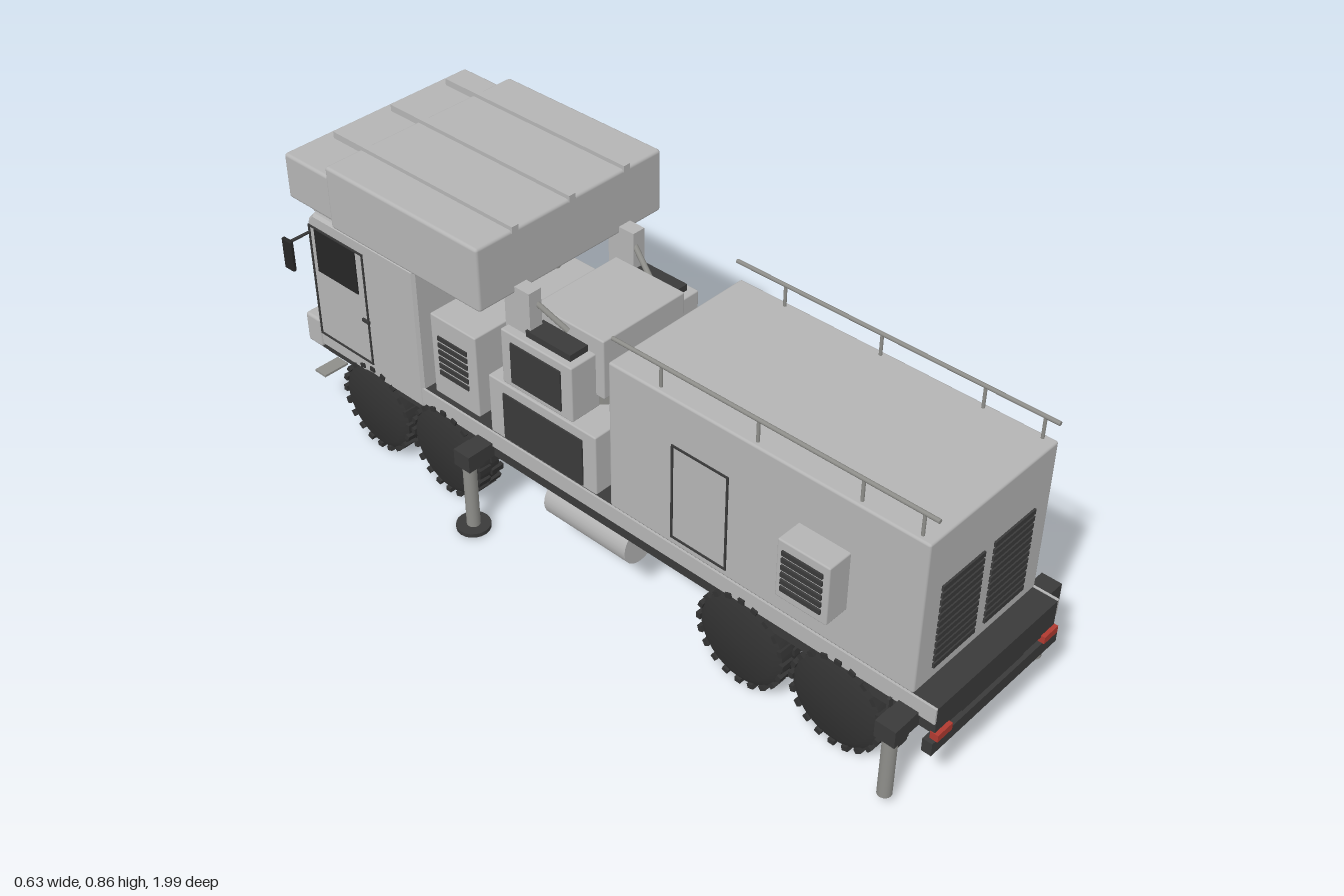
import * as THREE from 'three';
import { toCreasedNormals } from 'three/addons/utils/BufferGeometryUtils.js';
import { RoundedBoxGeometry } from 'three/addons/geometries/RoundedBoxGeometry.js';

export function createModel() {
  const root = new THREE.Group();
  root.name = 'radarTruck';
  const mat = (name, color) => {
    const m = new THREE.MeshStandardMaterial({ color });
    m.name = name;
    return m;
  };
  const body = mat('bodyGrey', 0xb4b4b4), dark = mat('frameDark', 0x3a3a3a), tyre = mat('tyreBlack', 0x323232);
  const steel = mat('steelGrey', 0x8e8e8a), tan = mat('tan', 0xb5a680), red = mat('lampRed', 0xb03a30);
  const glass = mat('glassBlack', 0x262626);

  const add = (name, geo, m, parent = root) => {
    const mesh = new THREE.Mesh(geo, m);
    mesh.name = name;
    parent.add(mesh);
    return mesh;
  };
  // Box from opposite corners; r gives softened edges
  const box = (name, m, x0, x1, y0, y1, z0, z1, r = 0) => {
    const s = [Math.abs(x1 - x0), Math.abs(y1 - y0), Math.abs(z1 - z0)];
    const g = r ? new RoundedBoxGeometry(...s, 2, r) : new THREE.BoxGeometry(...s);
    const mesh = add(name, g, m);
    mesh.position.set((x0 + x1) / 2, (y0 + y1) / 2, (z0 + z1) / 2);
    return mesh;
  };
  // Round bar between two points
  const rod = (name, m, a, b, r, sides = 8) => {
    const p = new THREE.Vector3(...a), q = new THREE.Vector3(...b);
    const mesh = add(name, new THREE.CylinderGeometry(r, r, p.distanceTo(q), sides), m);
    mesh.position.copy(p).lerp(q, 0.5);
    mesh.quaternion.setFromUnitVectors(new THREE.Vector3(0, 1, 0), q.sub(p).normalize());
    return mesh;
  };
  // Horizontal slats on a side wall
  const sideSlats = (name, s, x, y0, y1, z0, z1, n) => {
    const p = (y1 - y0) / n;
    for (let i = 0; i < n; i++) box(name, dark, s * x, s * (x + 0.006), y0 + i * p, y0 + (i + 0.6) * p, z0, z1);
  };
  // Thin outline of a door on a side wall
  const doorFrame = (name, s, x, y0, y1, z0, z1) => {
    const t = 0.005, a = s * (x - 0.002), b = s * (x + 0.003);
    box(name, dark, a, b, y0, y1, z0, z0 + t);
    box(name, dark, a, b, y0, y1, z1 - t, z1);
    box(name, dark, a, b, y0, y0 + t, z0, z1);
    box(name, dark, a, b, y1 - t, y1, z0, z1);
  };

  // Chassis and deck
  box('chassisFrame', dark, -0.13, 0.13, 0.19, 0.25, -0.92, 0.95);
  box('deck', dark, -0.213, 0.213, 0.205, 0.278, -0.92, 0.985);
  for (const s of [-1, 1]) box('deckSkirt', body, s * 0.212, s * 0.218, 0.237, 0.28, -0.56, 0.985);
  box('rearBumper', dark, -0.225, 0.225, 0.155, 0.19, 0.965, 0.99);
  box('rearCrossmember', dark, -0.11, 0.11, 0.185, 0.25, 0.93, 0.98);

  // Wheels: every rim faces the same way
  const prof = (pts) => pts.map(([r, y]) => new THREE.Vector2(r, y));
  const tyreGeo = toCreasedNormals(new THREE.LatheGeometry(prof([[0, -0.04], [0.098, -0.04], [0.117, -0.03], [0.119, 0],
    [0.117, 0.03], [0.1, 0.04], [0.072, 0.04], [0.066, 0.028], [0, 0.028]]), 32), 0.6);
  const rimGeo = toCreasedNormals(new THREE.LatheGeometry(prof([[0.069, 0.028], [0.069, 0.043], [0.06, 0.043],
    [0.053, 0.034], [0.032, 0.038], [0.028, 0.053], [0, 0.053]]), 24), 0.5);
  const lugGeo = new THREE.BoxGeometry(0.012, 0.037, 0.016);
  const boltGeo = new THREE.CylinderGeometry(0.0045, 0.0045, 0.016, 6);
  for (const z of [-0.735, -0.475, 0.475, 0.74]) {
    rod('axle', dark, [-0.18, 0.13, z], [0.18, 0.13, z], 0.016, 12);
    for (const x of [-0.185, 0.185]) {
      const wheel = new THREE.Group();
      wheel.name = 'wheel';
      wheel.position.set(x, 0.126, z);
      wheel.rotation.z = -Math.PI / 2;
      root.add(wheel);
      add('tyre', tyreGeo, tyre, wheel);
      add('rim', rimGeo, steel, wheel);
      for (let i = 0; i < 40; i++) {
        const a = (i / 40) * Math.PI * 2;
        const lug = add('treadLug', lugGeo, tyre, wheel);
        lug.position.set(Math.cos(a) * 0.119, i % 2 ? 0.02 : -0.02, Math.sin(a) * 0.119);
        lug.rotation.y = -a;
      }
      for (let i = 0; i < 10; i++) {
        const a = (i / 10) * Math.PI * 2;
        add('wheelBolt', boltGeo, steel, wheel).position.set(Math.cos(a) * 0.043, 0.041, Math.sin(a) * 0.043);
      }
    }
  }

  // Equipment shelter with rear louvres
  box('shelter', body, -0.215, 0.215, 0.28, 0.68, 0.08, 0.925, 0.006);
  for (const s of [-1, 1]) {
    for (let i = 0; i < 12; i++) {
      const y = 0.314 + i * 0.0192;
      box('rearLouvre', dark, s * 0.017, s * 0.158, y, y + 0.013, 0.921, 0.93);
    }
    box('sideVent', body, s * 0.21, s * 0.28, 0.395, 0.55, 0.61, 0.745, 0.004);
    sideSlats('sideVentSlat', s, 0.279, 0.42, 0.535, 0.625, 0.73, 6);
    doorFrame('shelterDoor', s, 0.215, 0.3, 0.56, 0.265, 0.425);
    rod('roofRail', steel, [s * 0.2, 0.735, 0.08], [s * 0.2, 0.735, 0.93], 0.005);
    for (const z of [0.22, 0.485, 0.75, 0.895]) rod('railPost', steel, [s * 0.2, 0.675, z], [s * 0.2, 0.735, z], 0.004);

    // Tail lamps, mudflaps and stabiliser legs
    box('tailLamp', red, s * 0.165, s * 0.215, 0.191, 0.21, 0.975, 0.995);
    box('mudflap', dark, s * 0.145, s * 0.228, 0.055, 0.24, 0.873, 0.879);
    for (const z of [0.92, -0.33]) {
      box('stabiliserBeam', dark, s * 0.15, s * 0.275, 0.205, 0.245, z - 0.025, z + 0.025);
      box('stabiliserHead', dark, s * 0.247, s * 0.295, 0.2, 0.246, z - 0.026, z + 0.026);
      rod('stabiliserLeg', steel, [s * 0.272, z > 0 ? 0.03 : 0.01, z], [s * 0.272, 0.205, z], 0.017, 16);
    }
    rod('stabiliserFoot', dark, [s * 0.272, 0.005, -0.33], [s * 0.272, 0.016, -0.33], 0.043, 20);
  }

  // Access ladder
  for (const z of [0.73, 0.81]) rod('ladderRail', dark, [0.225, 0.27, z], [0.312, 0.012, z], 0.004);
  for (let i = 0; i < 5; i++) {
    const t = i / 4, x = 0.225 + 0.087 * t, y = 0.27 - 0.258 * t;
    rod('ladderRung', dark, [x, y, 0.73], [x, y, 0.81], 0.004);
  }

  // Under-deck storage and tank
  box('storageBox', tan, 0.13, 0.215, 0.122, 0.218, -0.12, 0.115, 0.004);
  rod('fuelTank', body, [-0.17, 0.165, -0.13], [-0.17, 0.165, 0.13], 0.052, 24);

  // Generator block, side pods and turret
  box('generator', body, -0.213, 0.213, 0.28, 0.445, -0.31, 0.035, 0.004);
  rod('turntable', steel, [0, 0.44, -0.15], [0, 0.485, -0.15], 0.16, 32);
  box('turretBody', body, -0.132, 0.132, 0.48, 0.64, -0.23, -0.015, 0.004);
  for (const s of [-1, 1]) {
    box('generatorGrille', dark, s * 0.21, s * 0.217, 0.288, 0.418, -0.26, -0.005);
    box('turretPod', body, s * 0.12, s * 0.208, 0.445, 0.595, -0.265, -0.04, 0.004);
    box('podGrille', dark, s * 0.205, s * 0.212, 0.462, 0.572, -0.232, -0.073);
    box('podCap', dark, s * 0.135, s * 0.19, 0.595, 0.612, -0.2, -0.06);
    box('antennaBracket', body, s * 0.148, s * 0.185, 0.59, 0.71, -0.27, -0.19);
    rod('antennaStrut', steel, [s * 0.135, 0.62, -0.12], [s * 0.166, 0.69, -0.22], 0.007);
  }

  // Power unit with exhaust
  box('powerUnit', body, -0.2, 0.2, 0.28, 0.51, -0.52, -0.365, 0.004);
  for (const s of [-1, 1]) sideSlats('powerUnitSlat', s, 0.198, 0.345, 0.465, -0.495, -0.395, 6);
  rod('exhaust', steel, [0.14, 0.5, -0.44], [0.14, 0.635, -0.44], 0.009, 12);

  // Folded antenna
  box('antennaPanel', body, -0.29, 0.29, 0.69, 0.855, -0.742, -0.236, 0.008);
  box('antennaNose', body, -0.285, 0.285, 0.705, 0.825, -0.9, -0.735, 0.008);
  box('antennaUnderside', dark, -0.2, 0.2, 0.682, 0.692, -0.68, -0.26);
  for (const x of [-0.175, 0, 0.175]) box('antennaRib', body, x - 0.01, x + 0.01, 0.848, 0.865, -0.835, -0.234);
  rod('antennaSensor', dark, [0.16, 0.765, -0.895], [0.16, 0.765, -0.916], 0.013, 12);

  // Cab, extruded across its width from the side profile
  const side = new THREE.Shape([[0.553, 0.228], [0.93, 0.228], [0.934, 0.45], [0.928, 0.595], [0.91, 0.615], [0.553, 0.615]]
    .map(([a, b]) => new THREE.Vector2(a, b)));
  const cab = add('cab', new THREE.ExtrudeGeometry(side, {
    depth: 0.424, bevelEnabled: true, bevelSize: 0.007, bevelThickness: 0.008, bevelSegments: 1,
  }), body);
  cab.rotation.y = Math.PI / 2;
  cab.position.x = -0.212;
  box('cabRoof', body, -0.205, 0.205, 0.618, 0.631, -0.925, -0.55, 0.004);
  box('cabFloor', dark, -0.205, 0.205, 0.195, 0.226, -0.935, -0.56);
  box('frontBumper', body, -0.222, 0.222, 0.212, 0.298, -0.99, -0.935, 0.008);
  box('bumperUnderside', dark, -0.2, 0.2, 0.19, 0.214, -0.97, -0.9);
  box('frontGrille', dark, -0.085, 0.085, 0.24, 0.27, -0.995, -0.988);
  for (let i = 0; i < 8; i++) box('grilleBar', steel, -0.076 + i * 0.02, -0.07 + i * 0.02, 0.242, 0.268, -0.998, -0.994);
  rod('frontHandle', dark, [-0.06, 0.385, -0.955], [0.06, 0.385, -0.955], 0.004);
  for (const s of [-1, 1]) {
    box('windscreen', glass, s * 0.012, s * 0.198, 0.455, 0.578, -0.944, -0.936);
    rod('wiper', dark, [s * 0.05, 0.575, -0.948], [s * 0.14, 0.53, -0.948], 0.003);
    rod('handleMount', dark, [s * 0.06, 0.385, -0.935], [s * 0.06, 0.385, -0.96], 0.009);
    box('headlamp', dark, s * 0.135, s * 0.185, 0.242, 0.268, -0.994, -0.988);
    box('sideWindow', glass, s * 0.216, s * 0.223, 0.46, 0.582, -0.908, -0.758);
    doorFrame('cabDoor', s, 0.22, 0.262, 0.588, -0.93, -0.728);
    box('doorHandle', dark, s * 0.218, s * 0.226, 0.387, 0.395, -0.75, -0.725);
    box('cabStep', steel, s * 0.15, s * 0.225, 0.118, 0.124, -0.975, -0.935);
    rod('mirrorArm', dark, [s * 0.215, 0.565, -0.928], [s * 0.287, 0.565, -0.928], 0.004);
    box('mirror', glass, s * 0.28, s * 0.291, 0.485, 0.572, -0.95, -0.915, 0.004);
    rod('beacon', red, [s * 0.06, 0.628, -0.89], [s * 0.06, 0.652, -0.89], 0.012, 12);
  }
  return root;
}
